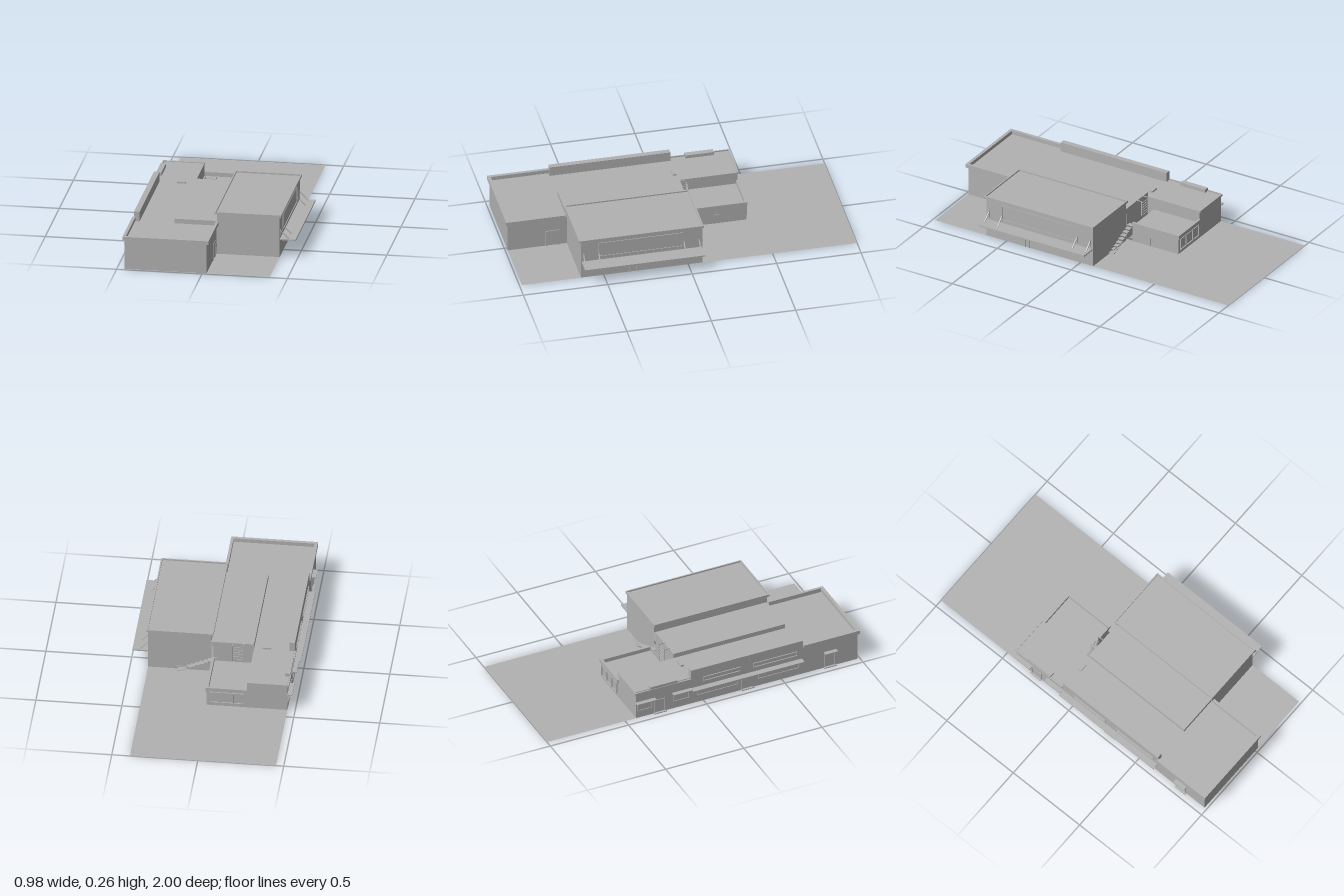
import * as THREE from 'three';

export function createModel() {
  const root = new THREE.Group();
  root.name = 'lowBuilding';
  const grey = new THREE.MeshStandardMaterial({ color: 0xb2b2b2, side: THREE.DoubleSide });
  grey.name = 'plain grey';

  const add = (name, geo, parent = root) => {
    const m = new THREE.Mesh(geo, grey);
    m.name = name;
    parent.add(m);
    return m;
  };
  // Solid block between two corners
  const box = (name, x0, x1, y0, y1, z0, z1) => {
    const m = add(name, new THREE.BoxGeometry(x1 - x0, y1 - y0, z1 - z0));
    m.position.set((x0 + x1) / 2, (y0 + y1) / 2, (z0 + z1) / 2);
    return m;
  };
  // Thin upright walls along a path of [x, z] points
  const walls = (name, path, y0, y1) => {
    const g = new THREE.Group();
    g.name = name;
    for (let i = 0; i + 1 < path.length; i++) {
      const [ax, az] = path[i], [bx, bz] = path[i + 1];
      const m = add(name + 'Panel', new THREE.PlaneGeometry(Math.hypot(bx - ax, bz - az), y1 - y0), g);
      m.position.set((ax + bx) / 2, (y0 + y1) / 2, (az + bz) / 2);
      m.rotation.y = Math.atan2(-(bz - az), bx - ax);
    }
    root.add(g);
  };
  // Flat sheet outlined by [x, z] points, facing up
  const sheet = (name, pts, y) => {
    const s = new THREE.Shape(pts.map(([x, z]) => new THREE.Vector2(x, -z)));
    const m = add(name, new THREE.ShapeGeometry(s).rotateX(-Math.PI / 2));
    m.position.y = y;
  };
  const rect = (x0, x1, z0, z1) => [[x0, z0], [x0, z1], [x1, z1], [x1, z0]];
  // Window or door surround on a side wall at x
  const frame = (name, x, z0, z1, y0, y1, t = 0.005) => {
    const a = x - 0.004, b = x + 0.004;
    box(name + 'Head', a, b, y1 - t, y1, z0, z1);
    if (y0 > 0) box(name + 'Sill', a, b, y0, y0 + t, z0, z1);
    box(name + 'Jamb', a, b, y0, y1, z0, z0 + t);
    box(name + 'Jamb', a, b, y0, y1, z1 - t, z1);
  };

  // Yards behind and beside the building
  sheet('rearYard', [[-0.455, -1], [-0.455, -0.43], [0.015, -0.43], [0.015, -0.085], [0.395, -0.085], [0.395, -1]], 0);
  sheet('frontYard', rect(0.025, 0.395, 0.635, 0.985), 0);

  // Long wing: outer walls, roof around the raised middle
  walls('longWingWall', [[-0.455, -0.43], [-0.455, 0.985], [0.025, 0.985], [0.025, 0.635]], 0, 0.18);
  sheet('longWingRoof', [[-0.455, -0.43], [-0.455, 0.985], [0.025, 0.985], [0.025, 0.635],
    [-0.22, 0.635], [-0.22, -0.43]], 0.172);
  box('leftParapet', -0.467, -0.448, 0.178, 0.2, 0.635, 0.997);
  box('frontParapet', -0.448, 0.022, 0.178, 0.2, 0.978, 0.997);
  box('rightParapet', 0.022, 0.038, 0.178, 0.2, 0.645, 0.997);
  box('highParapet', -0.458, -0.426, 0.172, 0.23, -0.08, 0.635);
  walls('raisedRoofSide', [[0.025, 0.635], [-0.22, 0.635], [-0.22, -0.08], [0.025, -0.08]], 0.172, 0.2);
  sheet('raisedRoof', rect(-0.22, 0.03, -0.08, 0.635), 0.2);

  // Tall hall with overhanging roof rim
  walls('hallWall', [[0.028, 0.635], [0.395, 0.635], [0.395, -0.085], [0.028, -0.085]], 0, 0.245);
  walls('hallInnerWall', [[0.028, -0.085], [0.028, 0.635]], 0.2, 0.245);
  sheet('hallRoof', rect(0.016, 0.405, -0.09, 0.648), 0.25);
  for (const [x0, x1, z0, z1] of [[0.016, 0.024, -0.09, 0.648], [0.397, 0.405, -0.09, 0.648],
    [0.024, 0.397, 0.64, 0.648], [0.024, 0.397, -0.09, -0.082]])
    box('hallRoofRim', x0, x1, 0.244, 0.258, z0, z1);

  // Hall canopy with slanted braces
  box('hallCanopy', 0.395, 0.488, 0.102, 0.11, -0.08, 0.63);
  for (const z of [-0.065, 0.025, 0.53, 0.62]) {
    const brace = box('canopyBrace', -0.0365, 0.0365, -0.002, 0.002, -0.003, 0.003);
    brace.position.set(0.42, 0.135, z);
    brace.rotation.z = -Math.PI / 4;
    box('bracePlate', 0.394, 0.399, 0.125, 0.165, z - 0.004, z + 0.004);
  }
  frame('hallWindow', 0.395, 0.03, 0.53, 0.13, 0.225);
  frame('hallDoor', 0.395, 0.3, 0.35, 0, 0.075);
  frame('hallOpening', 0.395, 0.28, 0.375, 0, 0.1, 0.003);
  frame('frontWingDoor', 0.025, 0.68, 0.76, 0, 0.1, 0.01);

  // Rear wing: higher left part and lower terrace
  walls('rearWingWall', [[-0.455, -0.43], [-0.22, -0.43], [-0.22, -0.08], [0.015, -0.08]], 0, 0.172);
  box('rearRoofEdge', -0.465, -0.22, 0.164, 0.176, -0.437, -0.427);
  box('rearRoofEdge', -0.465, -0.455, 0.164, 0.176, -0.427, -0.08);
  box('roofUnit', -0.462, -0.43, 0.172, 0.192, -0.34, -0.17);
  box('roofVent', -0.32, -0.27, 0.172, 0.182, -0.08, -0.06);
  walls('terraceWall', [[-0.22, -0.43], [0.015, -0.43], [0.015, -0.12], [-0.1, -0.12]], 0, 0.12);
  sheet('terraceFloor', rect(-0.22, 0.015, -0.43, -0.12), 0.098);
  box('terraceParapet', -0.22, 0.02, 0.098, 0.122, -0.437, -0.422);
  box('terraceParapet', 0.005, 0.02, 0.098, 0.122, -0.422, -0.12);
  frame('terraceDoor', 0.015, -0.27, -0.235, 0, 0.06);

  // Large windows in the rear terrace wall
  for (const y of [0.02, 0.088]) box('rearWindowRail', -0.205, 0, y, y + 0.005, -0.437, -0.43);
  for (const x of [-0.205, -0.14, -0.07, -0.005])
    box('rearWindowPost', x, x + 0.005, 0.02, 0.093, -0.437, -0.43);

  // Outside steps beside the hall and ladder to the raised roof
  for (let i = 0; i < 9; i++) {
    const x = 0.22 - i * 0.025;
    box('step', x - 0.027, x, i * 0.011 + 0.007, i * 0.011 + 0.011, -0.118, -0.086);
  }
  box('stairRail', 0.14, 0.23, 0.04, 0.045, -0.125, -0.12);
  for (const x of [-0.165, -0.1]) {
    box('ladderPost', x, x + 0.004, 0.098, 0.205, -0.115, -0.111);
    box('ladderArm', x, x + 0.004, 0.201, 0.205, -0.115, -0.075);
  }
  for (let i = 0; i < 6; i++)
    box('ladderRung', -0.165, -0.096, 0.11 + i * 0.016, 0.113 + i * 0.016, -0.115, -0.111);

  // Left side: canopies, doors with steps, window bands
  box('leftCanopy', -0.493, -0.455, 0.1, 0.106, -0.08, 0.63);
  for (const [z0, z1] of [[-0.435, -0.31], [-0.2, -0.08], [0.77, 0.85]])
    box('smallCanopy', -0.482, -0.455, 0.104, 0.109, z0, z1);
  for (const z of [-0.28, 0.28, 0.81]) {
    frame('leftDoor', -0.455, z - 0.035, z + 0.035, 0, 0.09);
    box('doorStep', -0.468, -0.455, 0, 0.005, z - 0.04, z + 0.04);
  }
  for (const [z0, z1] of [[-0.42, -0.33], [-0.19, -0.09], [-0.04, 0.22], [0.35, 0.61]])
    frame('leftWindow', -0.455, z0, z1, 0.045, 0.09);
  for (const [z0, z1] of [[0, 0.24], [0.32, 0.6]])
    frame('upperWindow', -0.457, z0, z1, 0.135, 0.165, 0.004);
  return root;
}
